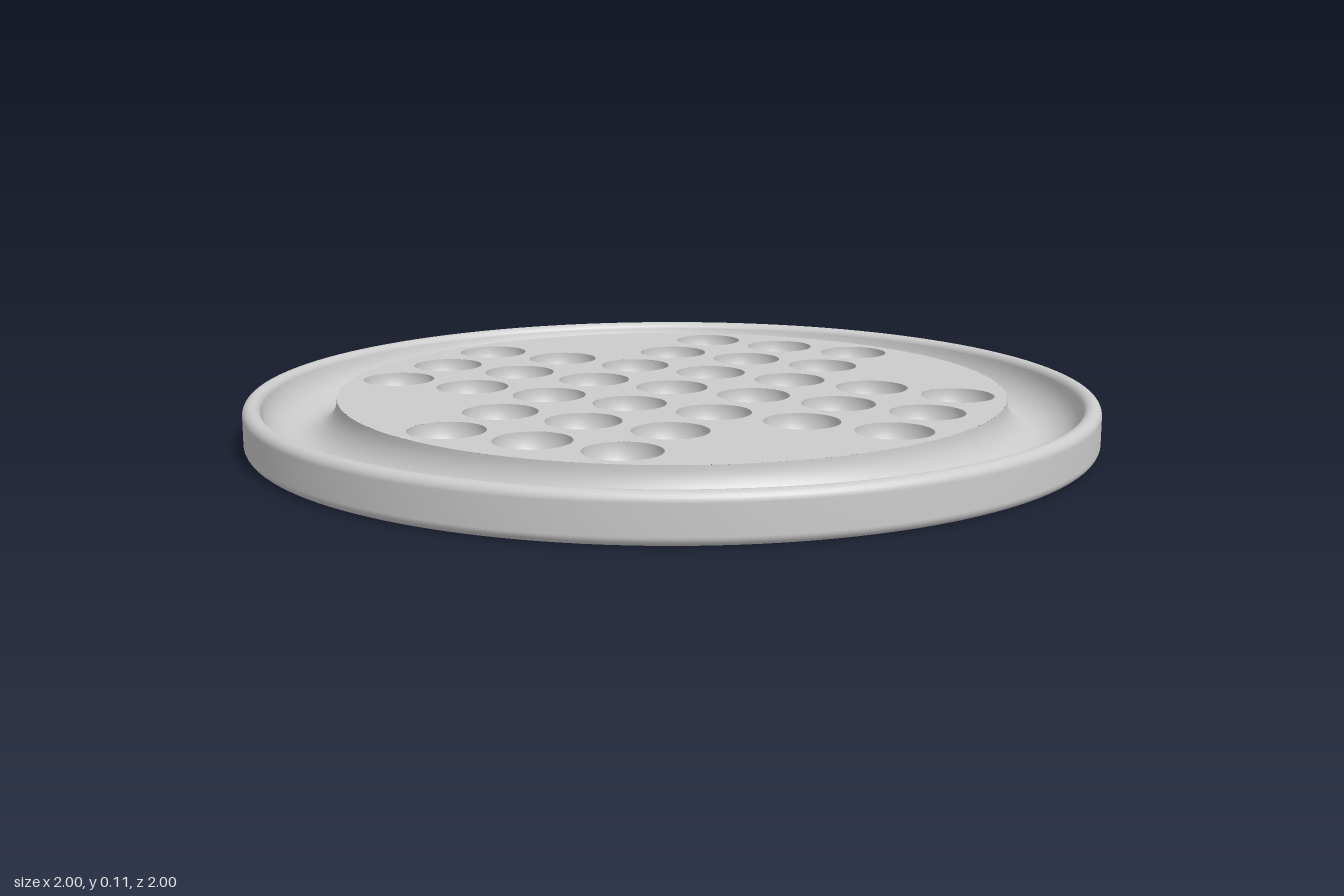
import * as THREE from 'three';

const TOP = 0.107;      // height of the playing surface
const HOLE_R = 0.085;   // radius of each marble cup
const PITCH = 0.213;    // spacing of the cups
const PLATE_R = 0.787;
const GROOVE_R = 0.086;

const material = new THREE.MeshStandardMaterial({ color: 0xcccccc, side: THREE.DoubleSide });

function addMesh(parent, name, geometry) {
  const mesh = new THREE.Mesh(geometry, material);
  mesh.name = name;
  parent.add(mesh);
  return mesh;
}

// Points on an arc in the lathe plane
function arc(cx, cy, r, from, to, steps) {
  return Array.from({ length: steps + 1 }, (_, i) => {
    const a = from + (to - from) * i / steps;
    return new THREE.Vector2(cx + r * Math.cos(a), cy + r * Math.sin(a));
  });
}

// Cross-shaped layout of 33 cups
function cupPositions() {
  const cells = [];
  for (let i = -3; i <= 3; i++)
    for (let j = -3; j <= 3; j++)
      if (Math.abs(i) <= 1 || Math.abs(j) <= 1) cells.push([i * PITCH, j * PITCH]);
  return cells;
}

export function createModel() {
  const board = new THREE.Group();
  board.name = 'pegBoard';
  const cells = cupPositions();

  // Thin flat playing surface, pierced by the cups
  const disc = new THREE.Shape().absarc(0, 0, PLATE_R, 0, Math.PI * 2);
  for (const [x, z] of cells)
    disc.holes.push(new THREE.Path().absarc(x, -z, HOLE_R, 0, Math.PI * 2, true));
  const plate = new THREE.ShapeGeometry(disc, 48);
  plate.rotateX(-Math.PI / 2);
  plate.translate(0, TOP, 0);
  addMesh(board, 'playingSurface', plate);

  // Hemispherical cups hanging below the surface
  const cups = new THREE.Group();
  cups.name = 'cups';
  board.add(cups);
  const bowl = new THREE.SphereGeometry(HOLE_R, 48, 14, 0, Math.PI * 2, Math.PI / 2, Math.PI / 2);
  for (const [x, z] of cells) addMesh(cups, 'cup', bowl).position.set(x, TOP, z);

  // Half-round marble groove, stopping where it meets the rim
  const groove = arc(PLATE_R + GROOVE_R, TOP, GROOVE_R, Math.PI, Math.PI * 2 - 0.2, 24);
  addMesh(board, 'marbleGroove', new THREE.LatheGeometry(groove, 128));

  // Upright outer rim, rounded along its top and bottom
  const r = 0.021, cx = 1 - r;
  const rim = [
    ...arc(cx, r, r, -Math.PI, 0, 12),
    ...arc(cx, TOP - r, r, 0, Math.PI, 12),
    new THREE.Vector2(cx - r, r),
  ];
  addMesh(board, 'outerRim', new THREE.LatheGeometry(rim, 128));

  return board;
}
